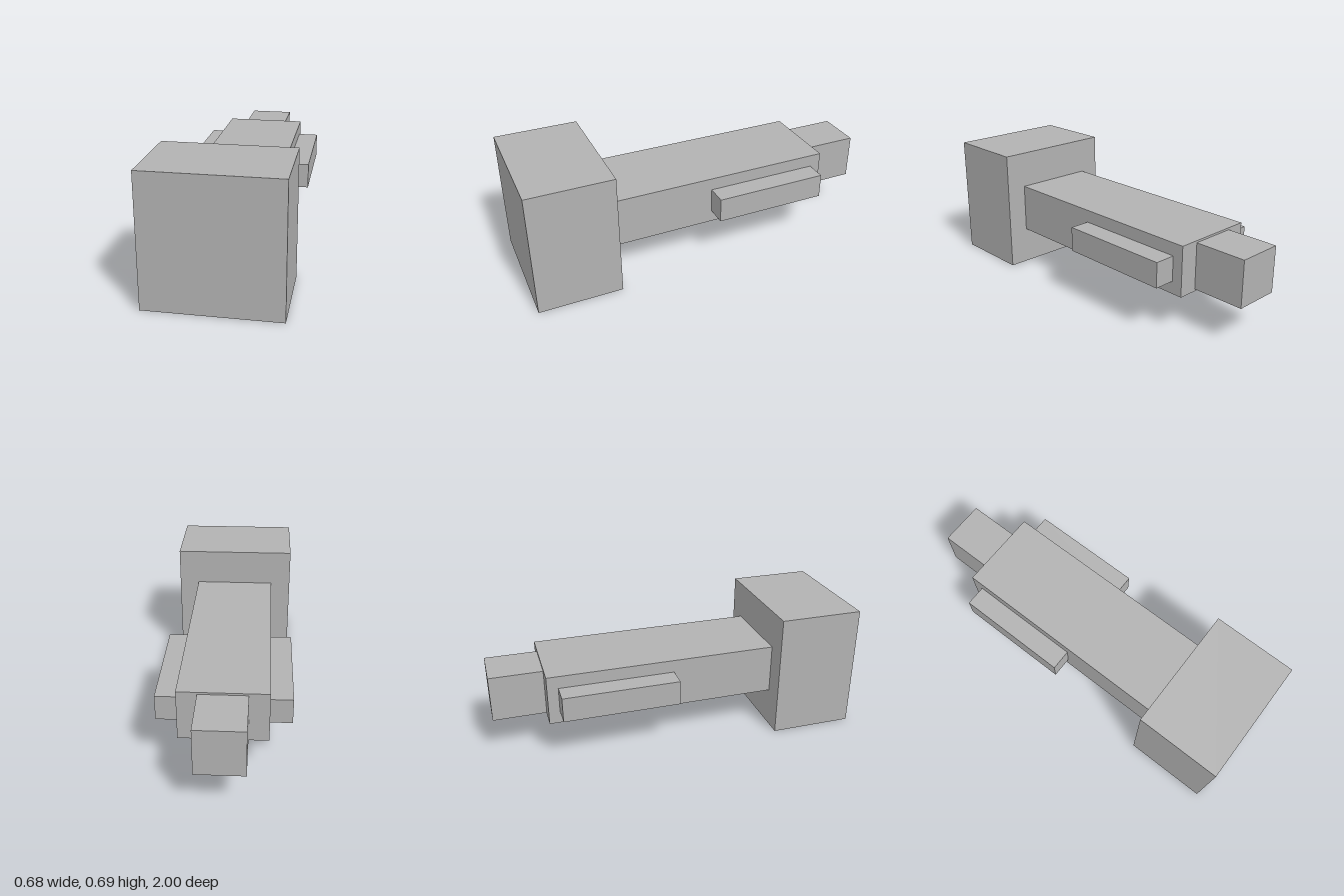
import * as THREE from 'three';

export function createModel() {
  const model = new THREE.Group();
  const grey = new THREE.MeshStandardMaterial({ color: 0xb2b2b2 });
  grey.name = 'grey';

  // Box given by its lower and upper corners
  const addBox = (name, [x0, y0, z0], [x1, y1, z1]) => {
    const mesh = new THREE.Mesh(new THREE.BoxGeometry(x1 - x0, y1 - y0, z1 - z0), grey);
    mesh.position.set((x0 + x1) / 2, (y0 + y1) / 2, (z0 + z1) / 2);
    mesh.name = name;
    model.add(mesh);
    return mesh;
  };

  // Large block at the front
  addBox('frontBlock', [-0.342, 0, 0.543], [0.342, 0.685, 1]);
  // Long flat body
  addBox('body', [-0.228, 0.209, -0.715], [0.228, 0.482, 0.543]);
  // Small block at the back
  addBox('rearBlock', [-0.125, 0.22, -1], [0.125, 0.471, -0.715]);

  // Side bars, sunk slightly into the body
  for (const side of [-1, 1]) {
    const bar = addBox(side > 0 ? 'leftBar' : 'rightBar', [0.2, 0.277, -0.656], [0.342, 0.413, -0.028]);
    bar.position.x *= side;
  }
  return model;
}
